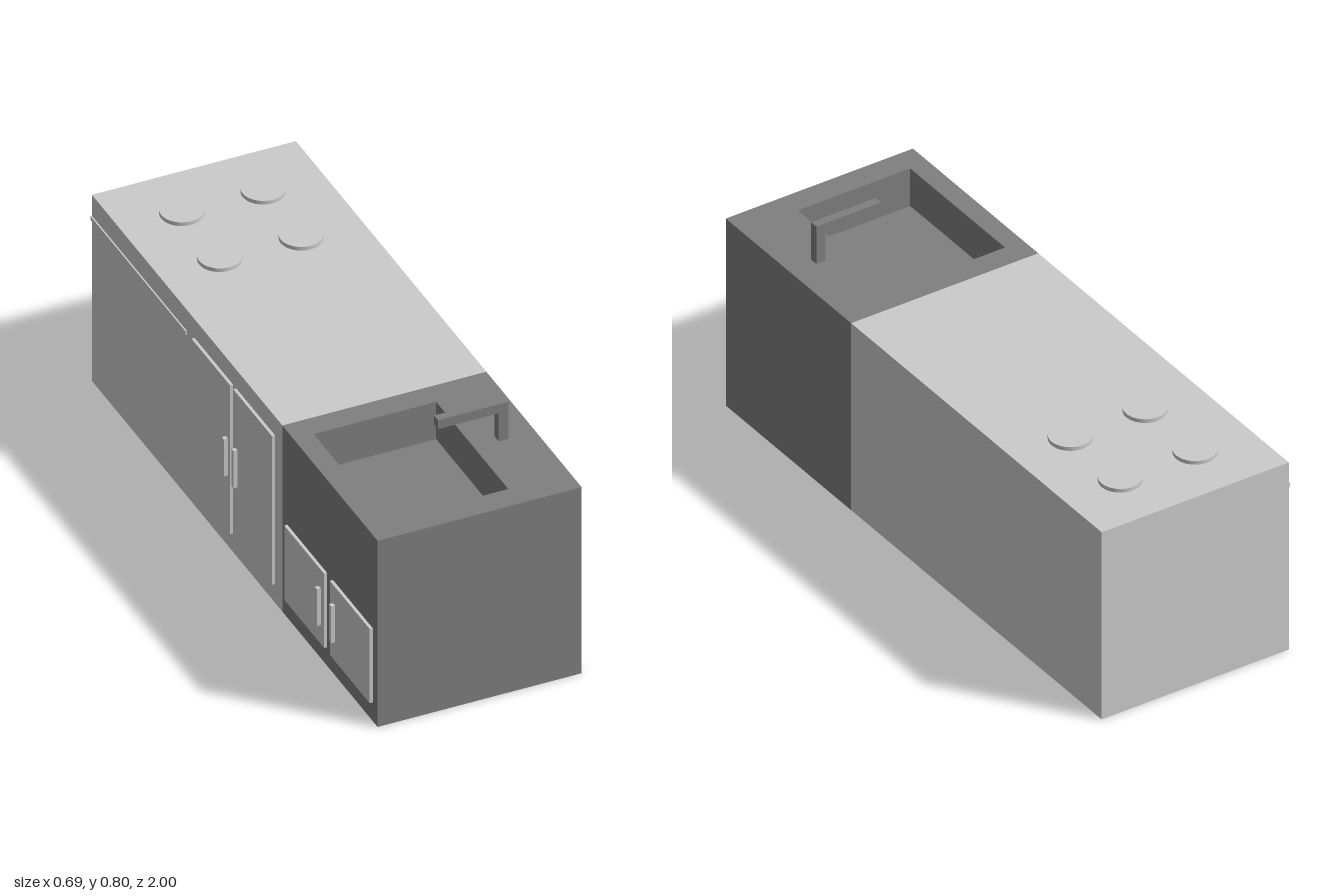
import * as THREE from 'three';

export function createModel() {
  const group = new THREE.Group();
  group.name = 'kitchenCounter';
  const light = new THREE.MeshStandardMaterial({ color: 0xcccccc });
  const dark = new THREE.MeshStandardMaterial({ color: 0x808080 });

  const add = (name, geometry, material) => {
    const mesh = new THREE.Mesh(geometry, material);
    mesh.name = name;
    group.add(mesh);
    return mesh;
  };
  // Box given by its extents on each axis
  const box = (name, material, [x0, x1], [y0, y1], [z0, z1]) =>
    add(name, new THREE.BoxGeometry(x1 - x0, y1 - y0, z1 - z0), material)
      .position.set((x0 + x1) / 2, (y0 + y1) / 2, (z0 + z1) / 2);

  const L = -0.322, R = 0.344, H = 0.667, mid = 0.011;
  const split = 0.333, floorY = 0.533;

  // Stove and cupboard share one plain block
  box('stoveAndCupboardBody', light, [L, R], [0, H], [-1, split]);

  // Sink unit: solid base and a rim with the basin opening
  box('sinkBase', dark, [L, R], [0, floorY], [split, 1]);
  const rect = (Type, x0, x1, z0, z1) => new Type([
    new THREE.Vector2(x0, -z0), new THREE.Vector2(x0, -z1),
    new THREE.Vector2(x1, -z1), new THREE.Vector2(x1, -z0),
  ]);
  const rim = rect(THREE.Shape, L, R, split, 1);
  rim.holes.push(rect(THREE.Path, -0.257, 0.143, 0.413, 0.917));
  const rimGeo = new THREE.ExtrudeGeometry(rim, { depth: H - floorY, bevelEnabled: false });
  rimGeo.rotateX(-Math.PI / 2);
  add('sinkRim', rimGeo, dark).position.y = floorY;

  // Faucet
  box('faucetPost', dark, [0.223, 0.255], [H, 0.768], [0.651, 0.679]);
  box('faucetArm', dark, [0.025, 0.255], [0.768, 0.8], [0.651, 0.679]);

  // Burners
  for (const sx of [-1, 1]) {
    for (const sz of [-1, 1]) {
      add('burner', new THREE.CylinderGeometry(0.067, 0.067, 0.013, 32), light)
        .position.set(mid + sx * 0.133, H + 0.0065, -0.667 + sz * 0.133);
    }
  }

  // Strip along the top of the stove front
  box('stoveStrip', light, [-0.327, L], [0.578, 0.592], [-1, -0.335]);

  // Pairs of doors with upright handles
  const doorPair = (name, z, inner, outer, top, grip, handleY) => {
    for (const s of [-1, 1]) {
      const span = (a, b) => [z + s * a, z + s * b].sort((p, q) => p - q);
      box(name + 'Door', light, [-0.332, L], [0.067, top], span(inner, outer));
      box(name + 'Handle', light, [-0.345, -0.332], handleY, span(grip - 0.007, grip + 0.007));
    }
  };
  doorPair('cupboard', 0, 0.011, 0.282, 0.6, 0.034, [0.267, 0.4]);
  doorPair('sink', 0.667, 0.02, 0.299, 0.333, 0.05, [0.135, 0.267]);

  return group;
}
